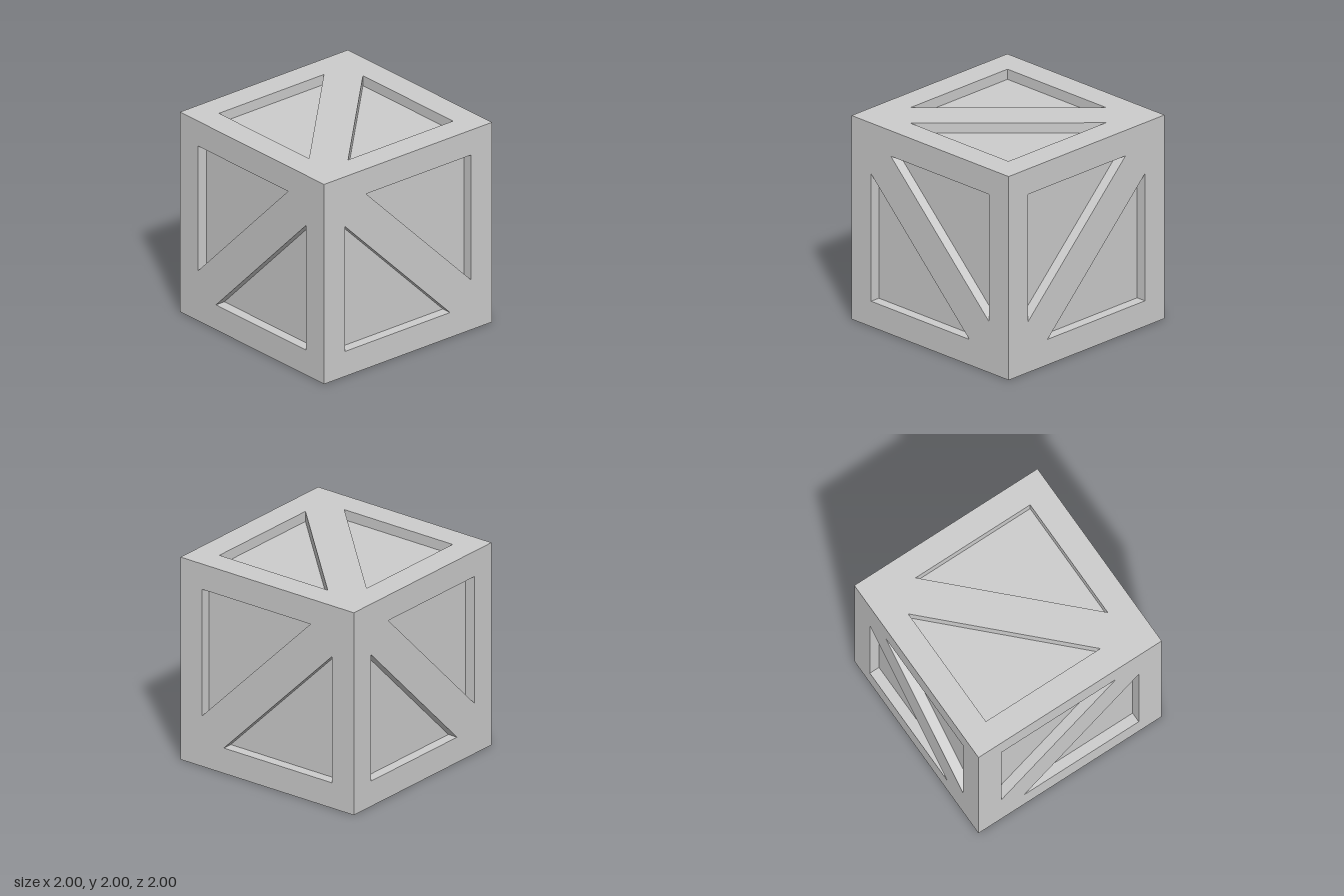
import * as THREE from 'three';

const HALF = 1;        // half the crate's side
const DEPTH = 0.1;     // depth of the recesses
const INNER = 0.75;    // inner edge of the frame
const TIP = 0.5;       // where the brace meets the frame

const toPath = (points, Type) => new Type(points.map(([x, y]) => new THREE.Vector2(x, y)));
const square = (s) => [[-s, -s], [s, -s], [s, s], [-s, s]];

// Two triangular openings either side of a diagonal brace; side = -1 mirrors the brace
function bracedOpenings(side) {
  const upper = [[-TIP * side, INNER], [INNER * side, INNER], [INNER * side, -TIP]];
  return [upper, upper.map(([x, y]) => [-x, -y])];
}

// Frame facing +z, its outer rim mitred to meet its neighbours
function frameGeometry(openings) {
  const shape = toPath(square(HALF), THREE.Shape);
  shape.holes = openings.map((points) => toPath(points, THREE.Path));
  const geometry = new THREE.ExtrudeGeometry(shape, { depth: DEPTH, bevelEnabled: false });
  geometry.translate(0, 0, HALF - DEPTH);
  const pos = geometry.attributes.position;
  for (let i = 0; i < pos.count; i++) {
    const onRim = Math.abs(pos.getX(i)) > HALF - 0.01;
    if (onRim && pos.getZ(i) < HALF - DEPTH / 2) {
      pos.setX(i, Math.sign(pos.getX(i)) * (HALF - DEPTH));
      pos.setY(i, Math.sign(pos.getY(i)) * (HALF - DEPTH));
    }
  }
  geometry.computeVertexNormals();
  return geometry;
}

export function createModel() {
  const crate = new THREE.Group();
  crate.name = 'crate';
  const grey = new THREE.MeshStandardMaterial({ color: 0xcccccc });
  grey.name = 'light grey';

  // Core, whose faces are the floors of the recesses
  const coreSize = 2 * (HALF - DEPTH);
  const core = new THREE.Mesh(new THREE.BoxGeometry(coreSize, coreSize, coreSize), grey);
  core.name = 'core';
  core.position.y = HALF;
  crate.add(core);

  // Frames: four sides and top with a brace, bottom with one square recess
  const falling = frameGeometry(bracedOpenings(1));
  const rising = frameGeometry(bracedOpenings(-1));
  const open = frameGeometry([square(INNER)]);
  const quarter = Math.PI / 2;
  const frames = [
    ['frontFrame', falling, 0, 0],
    ['backFrame', falling, 0, 2 * quarter],
    ['leftFrame', rising, 0, quarter],
    ['rightFrame', rising, 0, -quarter],
    ['topFrame', rising, -quarter, 0],
    ['bottomFrame', open, quarter, 0],
  ];
  for (const [name, geometry, turnX, turnY] of frames) {
    const frame = new THREE.Mesh(geometry, grey);
    frame.name = name;
    frame.rotation.set(turnX, turnY, 0);
    frame.position.y = HALF;
    crate.add(frame);
  }
  return crate;
}
